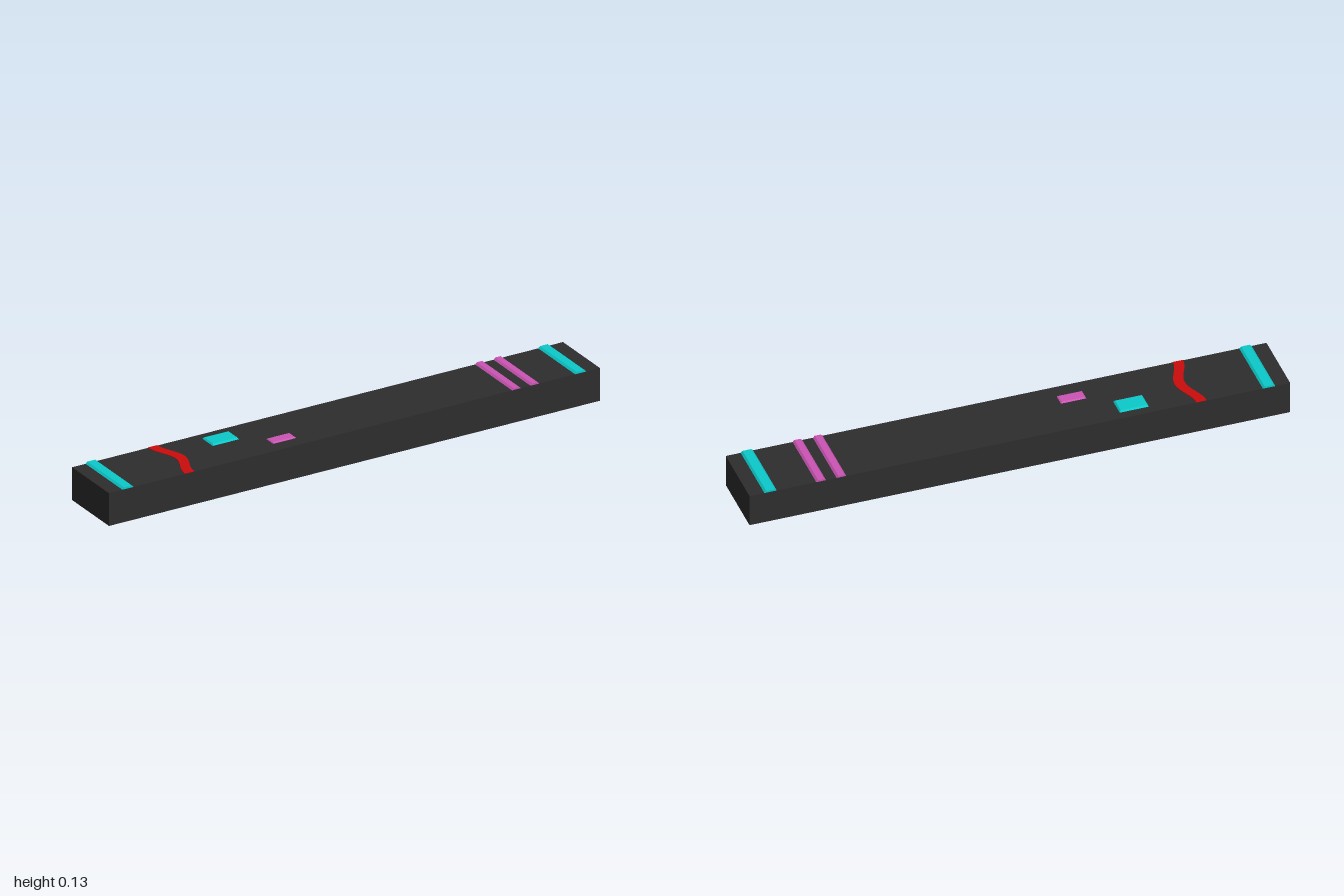
import * as THREE from 'three';

const H = 0.126, DEPTH = 0.25;

// Box standing on the bar's top, with its upper corners drawn in to form a bevel
function bevelledPlate(width, height, depth, insetX, insetZ) {
  const geo = new THREE.BoxGeometry(width, height, depth).toNonIndexed();
  const p = geo.attributes.position;
  for (let i = 0; i < p.count; i++) {
    if (p.getY(i) > 0) {
      p.setX(i, p.getX(i) - Math.sign(p.getX(i)) * insetX);
      p.setZ(i, p.getZ(i) - Math.sign(p.getZ(i)) * insetZ);
    }
  }
  geo.translate(0, height / 2, 0);
  geo.computeVertexNormals();
  return geo;
}

export function createModel() {
  const group = new THREE.Group();
  const charcoal = new THREE.MeshStandardMaterial({ name: 'charcoal', color: 0x2d2d2d });
  const teal = new THREE.MeshStandardMaterial({ name: 'teal', color: 0x0cc9c9 });
  const pink = new THREE.MeshStandardMaterial({ name: 'pink', color: 0xcc55b5 });
  const red = new THREE.MeshStandardMaterial({ name: 'red', color: 0xcc0c0c });

  const add = (name, geo, mat, x = 0, y = 0, z = 0) => {
    const mesh = new THREE.Mesh(geo, mat);
    mesh.name = name;
    mesh.position.set(x, y, z);
    group.add(mesh);
  };

  // Long solid bar
  add('bar', new THREE.BoxGeometry(2, H, DEPTH), charcoal, 0, H / 2);

  // Raised cross stripes, full depth
  for (const x of [-0.922, 0.922])
    add('endStripe', bevelledPlate(0.046, 0.007, DEPTH, 0.007, 0), teal, x, H);
  for (const x of [0.66, 0.735])
    add('pairedStripe', bevelledPlate(0.036, 0.007, DEPTH, 0.007, 0), pink, x, H);

  // Small raised patches
  add('tealPatch', bevelledPlate(0.108, 0.006, 0.07, 0.005, 0.005), teal, -0.435, H, -0.057);
  add('pinkPatch', bevelledPlate(0.094, 0.004, 0.046, 0.005, 0.005), pink, -0.252, H, 0.049);

  // Thin wavy ribbon across the top
  const centre = z => -0.6535 - 0.0185 * -Math.cos((z / 0.125) * Math.PI);
  const edge = side => Array.from({ length: 17 }, (_, i) => {
    const z = -0.125 + (i / 16) * DEPTH;
    return new THREE.Vector2(centre(z) + side * 0.019, -z);
  });
  const ribbon = new THREE.ExtrudeGeometry(
    new THREE.Shape([...edge(-1), ...edge(1).reverse()]),
    { depth: 0.002, bevelEnabled: false });
  ribbon.rotateX(-Math.PI / 2);
  add('wavyRibbon', ribbon, red, 0, H);

  return group;
}
